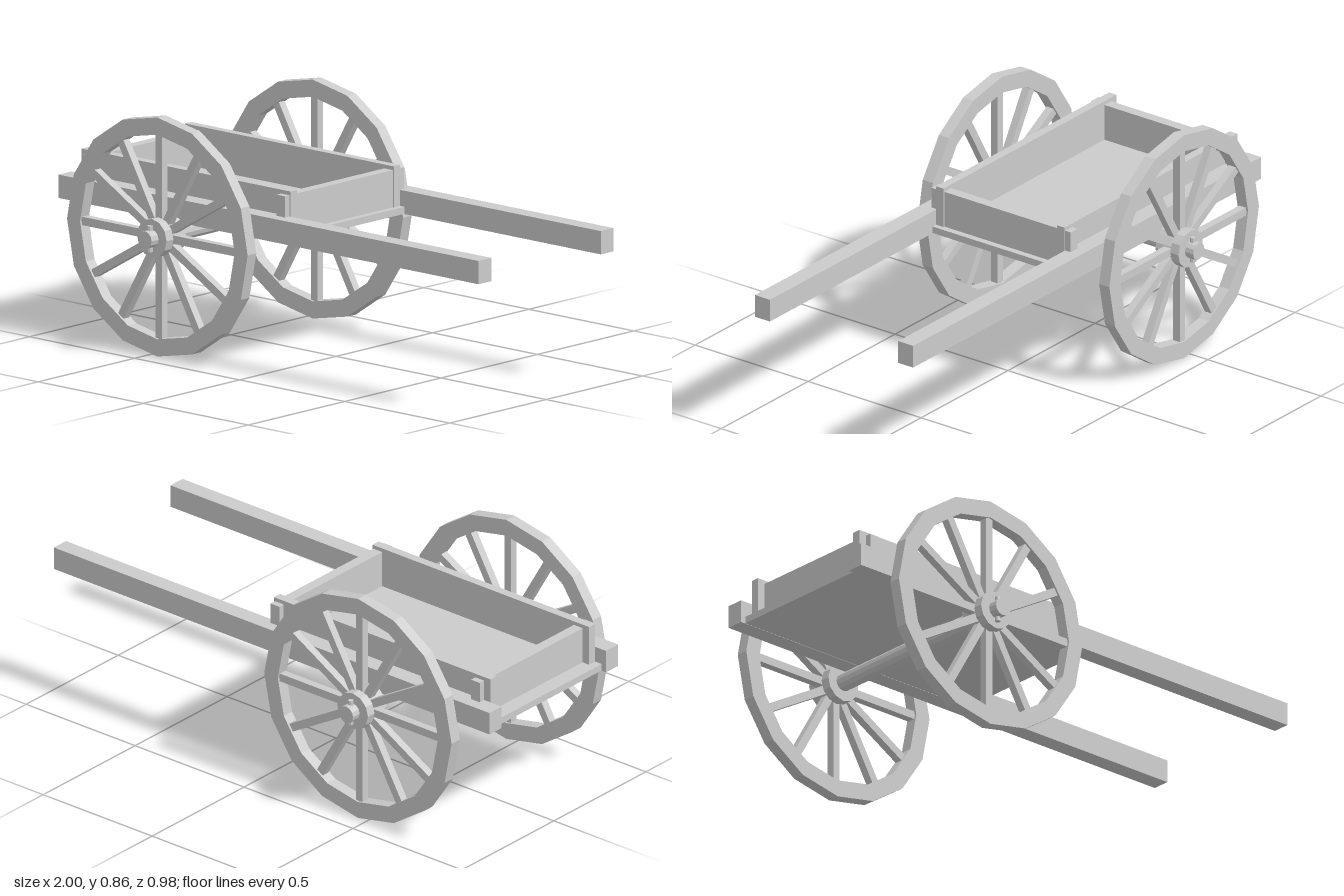
import * as THREE from 'three';

const material = new THREE.MeshStandardMaterial({ color: 0xcccccc, flatShading: true });
const AXLE_X = -0.46, AXLE_Y = 0.43;

function add(parent, name, geometry, x = 0, y = 0, z = 0) {
  const mesh = new THREE.Mesh(geometry, material);
  mesh.name = name;
  mesh.position.set(x, y, z);
  parent.add(mesh);
  return mesh;
}

// Box given by its limits on each axis
function box(parent, name, [x0, x1], [y0, y1], [z0, z1]) {
  return add(parent, name, new THREE.BoxGeometry(x1 - x0, y1 - y0, z1 - z0),
    (x0 + x1) / 2, (y0 + y1) / 2, (z0 + z1) / 2);
}

function ring(radius, sides) {
  return Array.from({ length: sides }, (_, i) => {
    const a = (i / sides) * Math.PI * 2;
    return new THREE.Vector2(radius * Math.cos(a), radius * Math.sin(a));
  });
}

// Cylinder lying along z
function rod(radius, length, sides) {
  return new THREE.CylinderGeometry(radius, radius, length, sides).rotateX(Math.PI / 2);
}

function createWheel(name) {
  const wheel = new THREE.Group();
  wheel.name = name;

  // Faceted rim
  const shape = new THREE.Shape(ring(0.43, 16));
  shape.holes.push(new THREE.Path(ring(0.368, 16)));
  const rim = new THREE.ExtrudeGeometry(shape, { depth: 0.045, bevelEnabled: false });
  add(wheel, 'rim', rim.translate(0, 0, -0.0225));

  add(wheel, 'hub', rod(0.07, 0.102, 12));

  // Twelve spokes from hub to rim
  for (let i = 0; i < 12; i++) {
    const spoke = new THREE.BoxGeometry(0.03, 0.325, 0.03).translate(0, 0.2125, 0);
    add(wheel, 'spoke', spoke).rotation.z = (i * Math.PI) / 6;
  }
  return wheel;
}

export function createModel() {
  const cart = new THREE.Group();
  cart.name = 'handcart';

  // Floor and end boards
  box(cart, 'floor', [-0.98, 0.065], [0.475, 0.5], [-0.285, 0.285]);
  for (const x of [-0.92, 0]) {
    box(cart, 'endBoard', [x, x + 0.04], [0.5, 0.634], [-0.251, 0.251]);
    // Tenons pass through the side boards
    for (const s of [-1, 1]) {
      box(cart, 'tenon', [x, x + 0.04], [0.558, 0.634], s < 0 ? [-0.308, -0.251] : [0.251, 0.308]);
    }
  }

  for (const s of [-1, 1]) {
    const side = s < 0 ? 'back' : 'front';
    const span = (a, b) => (s < 0 ? [-b, -a] : [a, b]);
    box(cart, side + 'Shaft', [-1, 1], [0.474, 0.558], span(0.284, 0.35));
    box(cart, side + 'SideBoard', [-0.95, 0.045], [0.5, 0.648], span(0.251, 0.284));

    const wheel = createWheel(side + 'Wheel');
    wheel.position.set(AXLE_X, AXLE_Y, s * 0.403);
    cart.add(wheel);

    // Linchpin outside the hub
    add(cart, side + 'Linchpin', new THREE.CylinderGeometry(0.01, 0.01, 0.094, 8),
      AXLE_X, AXLE_Y, s * 0.464);
  }

  add(cart, 'axle', rod(0.032, 0.98, 12), AXLE_X, AXLE_Y, 0);
  return cart;
}
